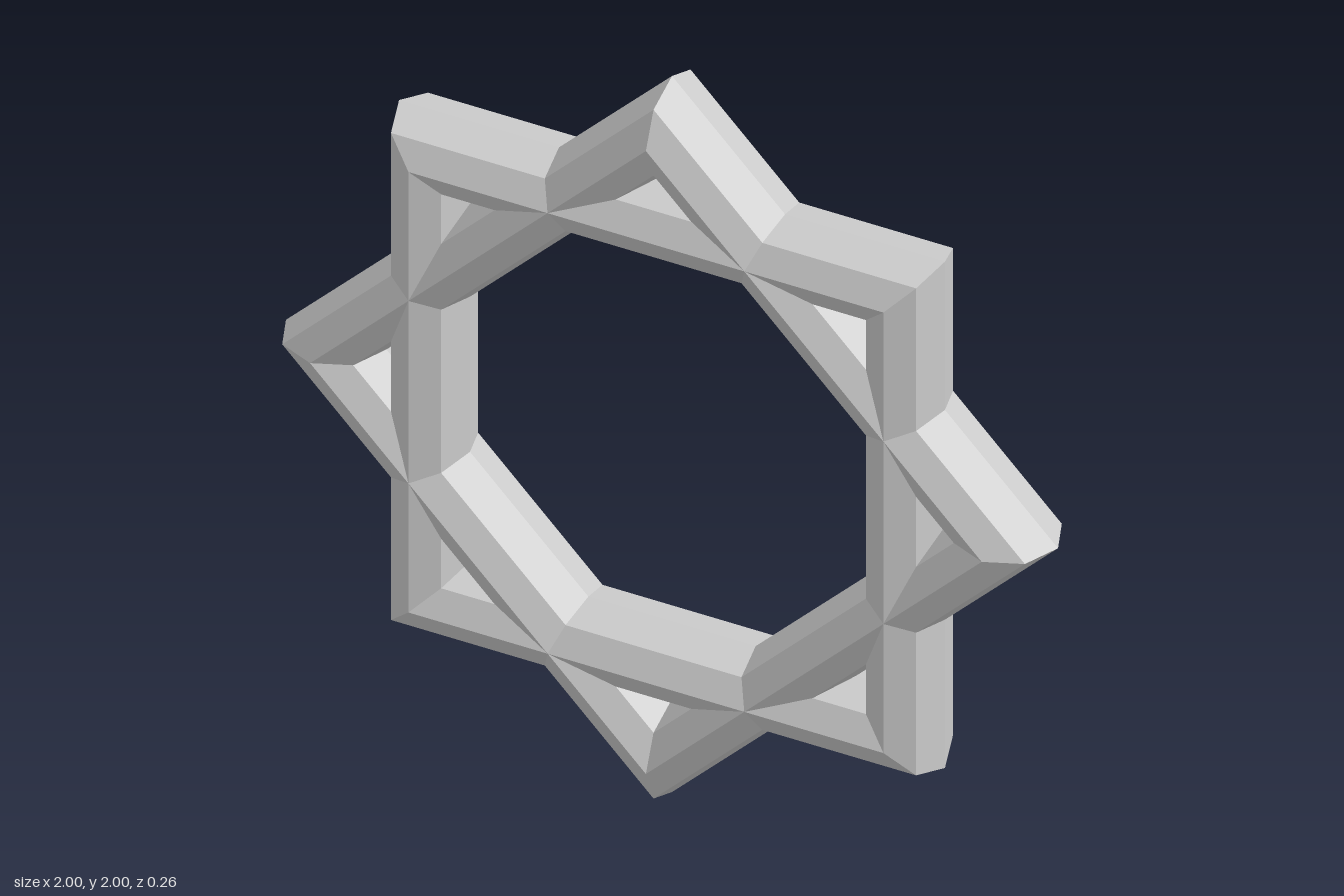
import * as THREE from 'three';

// Two crossing square rings with an octagonal bar section form an eight-pointed star.
export function createModel() {
  const group = new THREE.Group();
  group.name = 'starFrame';
  const material = new THREE.MeshStandardMaterial({ color: 0xcccccc, flatShading: true });

  const barRadius = 0.13;
  const cornerRadius = 1 - barRadius; // centreline distance to each corner
  const ring = new THREE.TorusGeometry(cornerRadius, barRadius, 8, 4);

  ['diamondRing', 'squareRing'].forEach((name, i) => {
    const mesh = new THREE.Mesh(ring, material);
    mesh.name = name;
    mesh.position.y = 1;
    mesh.rotation.z = i * Math.PI / 4;
    group.add(mesh);
  });
  return group;
}
